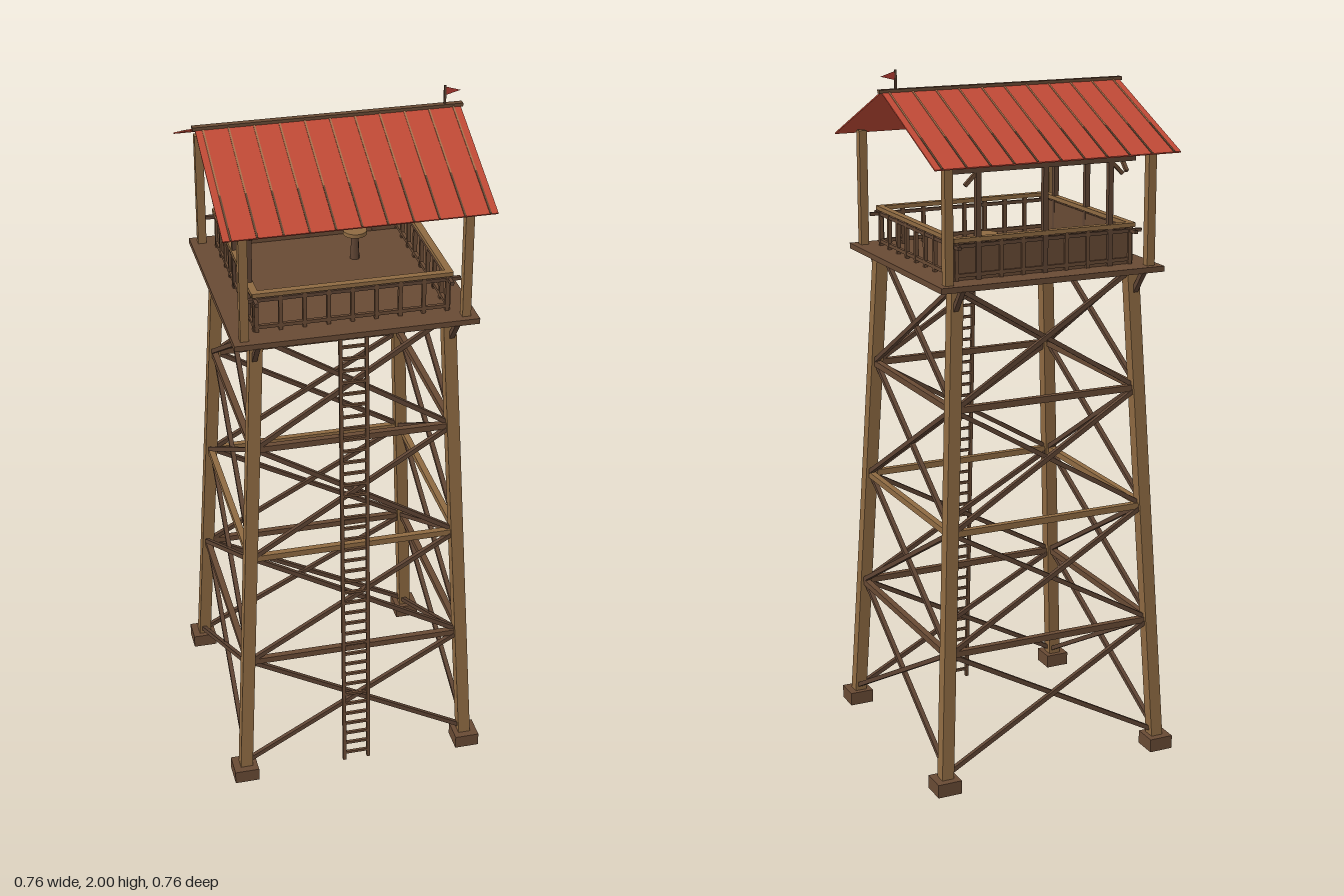
import * as THREE from 'three';

const mat = (name, color) => {
  const m = new THREE.MeshStandardMaterial({ color });
  m.name = name;
  return m;
};

export function createModel() {
  const root = new THREE.Group();
  root.name = 'lookoutTower';
  const timber = mat('timber', 0x8e6a42);
  const brown = mat('brownWood', 0x684a34);
  const dark = mat('darkWood', 0x5e4433);
  const red = mat('roofRed', 0xc04a36);
  const seamTan = mat('seamTan', 0xa8704c);
  const flagRed = mat('flagRed', 0xb03a30);
  flagRed.side = THREE.DoubleSide;
  const V = (x, y, z) => new THREE.Vector3(x, y, z);
  const UP = V(0, 1, 0);

  const group = (name, parent = root) => {
    const g = new THREE.Group();
    g.name = name;
    parent.add(g);
    return g;
  };
  const add = (parent, name, geo, m, x = 0, y = 0, z = 0) => {
    const mesh = new THREE.Mesh(geo, m);
    mesh.name = name;
    mesh.position.set(x, y, z);
    parent.add(mesh);
    return mesh;
  };
  const box = (parent, name, m, w, h, d, x, y, z) =>
    add(parent, name, new THREE.BoxGeometry(w, h, d), m, x, y, z);
  // Straight square member between two points of its parent
  const beam = (parent, name, m, a, b, w) => {
    const mid = a.clone().add(b).multiplyScalar(0.5);
    const mesh = box(parent, name, m, w, a.distanceTo(b), w, mid.x, mid.y, mid.z);
    mesh.quaternion.setFromUnitVectors(UP, b.clone().sub(a).normalize());
  };

  // Leg offset from the centre at a given height
  const legAt = (y) => 0.34 - ((y - 0.02) / 1.43) * 0.072;
  const signs = [-1, 1];

  // Legs, footings and knee braces
  const legs = group('legs');
  for (const sx of signs) for (const sz of signs) {
    box(legs, 'footing', brown, 0.072, 0.04, 0.072, sx * 0.342, 0.02, sz * 0.342);
    beam(legs, 'leg', timber, V(sx * legAt(0.03), 0.03, sz * legAt(0.03)),
      V(sx * legAt(1.45), 1.45, sz * legAt(1.45)), 0.036);
    beam(legs, 'kneeBrace', dark, V(sx * 0.275, 1.375, sz * 0.275),
      V(sx * 0.275, 1.45, sz * 0.333), 0.014);
  }

  // Cross bracing and girts, the same on four sides
  const levels = [0.05, 0.405, 0.755, 1.105, 1.445];
  for (let s = 0; s < 4; s++) {
    const side = group('bracingSide');
    side.rotation.y = s * Math.PI / 2;
    for (let i = 0; i < 4; i++) {
      const y0 = levels[i], y1 = levels[i + 1];
      const r0 = legAt(y0), r1 = legAt(y1);
      for (const k of signs)
        beam(side, 'crossBrace', dark, V(-k * r0, y0, r0 + k * 0.004), V(k * r1, y1, r1 + k * 0.004), 0.013);
      if (i) beam(side, 'girt', i === 2 ? timber : brown, V(-r0, y0, r0), V(r0, y0, r0), 0.018);
    }
  }

  // Ladder leaning along the front
  const ladder = group('ladder');
  const ladderZ = (y) => legAt(y) + 0.012;
  for (const sx of signs)
    beam(ladder, 'ladderRail', brown, V(sx * 0.037, 0.005, ladderZ(0)), V(sx * 0.037, 1.45, ladderZ(1.45)), 0.01);
  for (let i = 0; i < 40; i++) {
    const y = 0.03 + i * 0.0358;
    box(ladder, 'rung', brown, 0.074, 0.008, 0.008, 0, y, ladderZ(y));
  }

  // Deck
  box(root, 'deck', brown, 0.676, 0.016, 0.676, 0, 1.453, 0);

  // Railings; the back and left-hand sides are boarded and carry a head beam
  for (let s = 0; s < 4; s++) {
    const rail = group('railing');
    rail.rotation.y = s * Math.PI / 2;
    box(rail, 'handrail', timber, 0.55, 0.012, 0.02, 0, 1.572, 0.268);
    box(rail, 'railTie', dark, 0.6, 0.01, 0.01, 0, 1.555, 0.268);
    box(rail, 'lowerRail', brown, 0.54, 0.01, 0.01, 0, 1.475, 0.268);
    for (let i = 0; i < 9; i++)
      box(rail, 'baluster', brown, 0.011, 0.106, 0.011, -0.264 + i * 0.066, 1.513, 0.268);
    if (s >= 2) {
      box(rail, 'railingBoard', brown, 0.53, 0.1, 0.006, 0, 1.511, 0.264);
      box(rail, 'headBeam', dark, 0.55, 0.014, 0.016, 0, 1.758, 0.268);
      for (const x of [-0.2, 0, 0.2])
        if (s === 2 || x >= 0)
          box(rail, 'windowPost', dark, 0.015, 0.3, 0.015, x, 1.608, 0.268);
      for (const k of signs)
        beam(rail, 'beamBrace', brown, V(k * 0.238, 1.717, 0.268), V(k * 0.2, 1.755, 0.268), 0.01);
    }
  }

  // Roof posts
  for (const sx of signs) for (const sz of signs)
    box(root, 'roofPost', timber, 0.024, 0.335, 0.024, sx * 0.306, 1.627, sz * 0.306);

  // Pedestal sighting table
  const table = group('sightingTable');
  table.position.set(0.1, 0, -0.1);
  add(table, 'tableStem', new THREE.CylinderGeometry(0.01, 0.014, 0.08, 8), dark, 0, 1.5, 0);
  add(table, 'tableTop', new THREE.CylinderGeometry(0.034, 0.034, 0.012, 16), timber, 0, 1.543, 0);

  // Gable roof with raised seams
  const roof = group('roof');
  const pitch = Math.atan2(0.16, 0.365), slope = Math.hypot(0.16, 0.365);
  for (const sz of signs) {
    const half = group('roofHalf', roof);
    half.position.y = 1.941;
    half.rotation.order = 'YXZ';
    half.rotation.set(pitch, sz > 0 ? 0 : Math.PI, 0);
    box(half, 'roofSheet', red, 0.732, 0.004, slope, 0, 0, slope / 2);
    for (let i = 0; i < 11; i++) {
      const x = -0.345 + i * 0.069;
      box(half, 'upperSeam', seamTan, 0.005, 0.003, slope * 0.615, x, 0.0025, slope * 0.3075);
      box(half, 'lowerSeam', brown, 0.005, 0.004, slope * 0.385, x, 0.0025, slope * 0.8075);
    }
  }
  box(roof, 'ridgeCap', brown, 0.746, 0.01, 0.018, 0, 1.943, 0);

  // Pennant on the ridge
  const flag = group('pennant');
  box(flag, 'flagPole', dark, 0.006, 0.058, 0.006, 0.323, 1.971, 0);
  const cloth = new THREE.Shape([[0, 0], [0.042, 0.011], [0, 0.024]].map(([x, y]) => new THREE.Vector2(x, y)));
  add(flag, 'flagCloth', new THREE.ShapeGeometry(cloth), flagRed, 0.325, 1.972, 0);

  return root;
}
